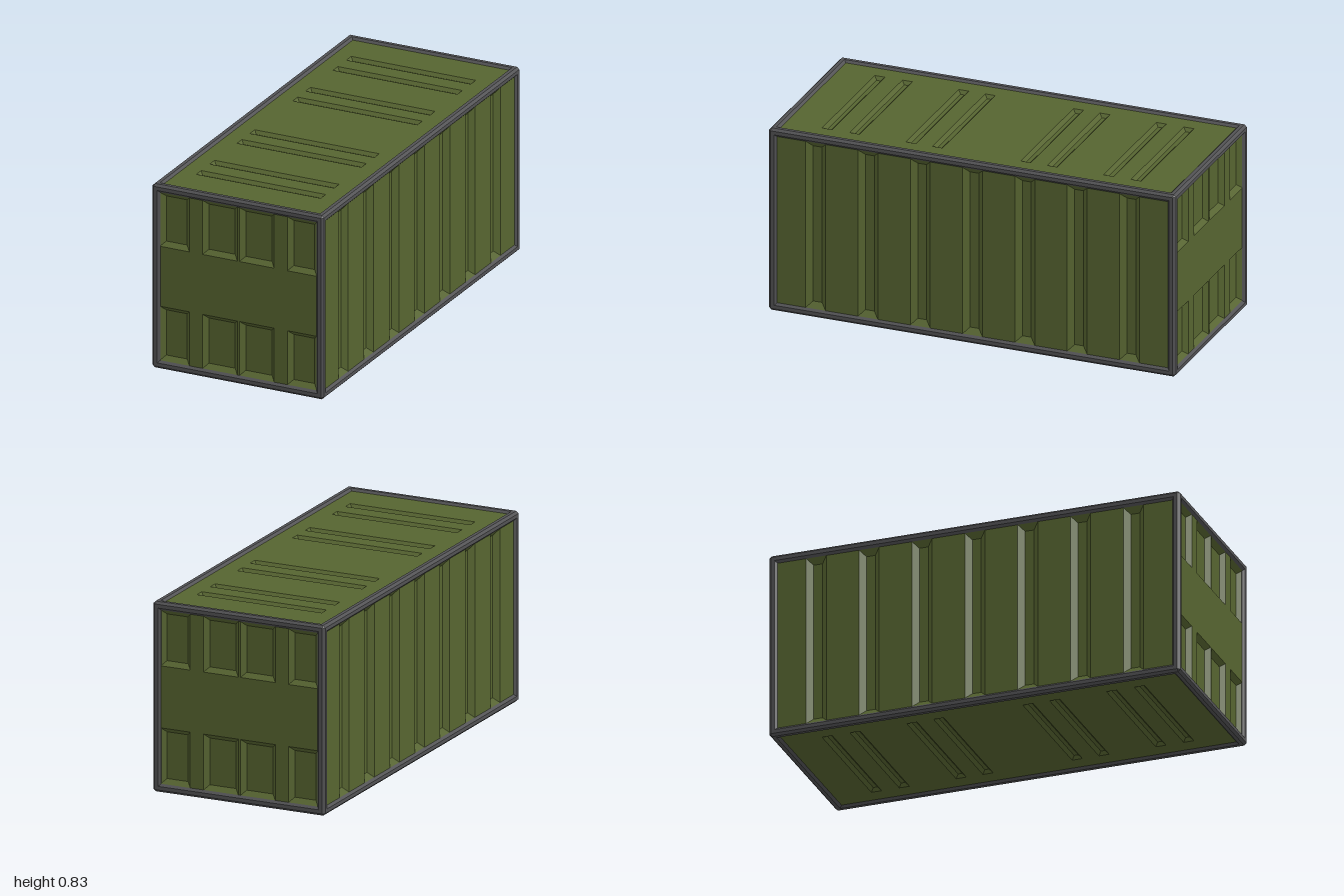
import * as THREE from 'three';
import { ConvexGeometry } from 'three/addons/geometries/ConvexGeometry.js';

const W = 0.804, H = 0.834, L = 1.842; // overall size before turning
const BAR = 0.036, CHAMFER = 0.01, INSET = 0.01;

const olive = new THREE.MeshStandardMaterial({ color: 0x566430 });
olive.name = 'olive panel';
const grey = new THREE.MeshStandardMaterial({ color: 0x525254 });
grey.name = 'grey frame';

// Box with every edge cut at 45 degrees
function chamferBox(w, h, d) {
  const c = CHAMFER, points = [];
  for (const sx of [-1, 1]) for (const sy of [-1, 1]) for (const sz of [-1, 1]) {
    const x = w / 2, y = h / 2, z = d / 2;
    for (const [px, py, pz] of [[x, y - c, z - c], [x - c, y, z - c], [x - c, y - c, z]]) {
      points.push(new THREE.Vector3(sx * px, sy * py, sz * pz));
    }
  }
  return new ConvexGeometry(points);
}

// Pressed recess with sloping walls: r = [x0, x1, y0, y1]
function recessGeometry([x0, x1, y0, y1], slope, depth) {
  const loop = (i, z) => [
    [x0 + i, y0 + i, z], [x1 - i, y0 + i, z], [x1 - i, y1 - i, z], [x0 + i, y1 - i, z],
  ];
  const rim = loop(0, 0), floor = loop(slope, -depth), pos = [];
  const quad = (a, b, c, d) => pos.push(...a, ...b, ...c, ...a, ...c, ...d);
  for (let i = 0; i < 4; i++) {
    const j = (i + 1) % 4;
    quad(rim[i], rim[j], floor[j], floor[i]);
  }
  quad(...floor);
  const g = new THREE.BufferGeometry();
  g.setAttribute('position', new THREE.Float32BufferAttribute(pos, 3));
  g.computeVertexNormals();
  return g;
}

// Flat sheet facing +z with recesses pressed into it
function pressedPanel(name, w, h, recesses, slope, depth) {
  const group = new THREE.Group();
  group.name = name;
  const rect = (target, x0, x1, y0, y1) => {
    target.moveTo(x0, y0);
    target.lineTo(x1, y0);
    target.lineTo(x1, y1);
    target.lineTo(x0, y1);
    target.closePath();
    return target;
  };
  const shape = rect(new THREE.Shape(), -w / 2, w / 2, -h / 2, h / 2);
  for (const r of recesses) shape.holes.push(rect(new THREE.Path(), ...r));
  const sheet = new THREE.Mesh(new THREE.ShapeGeometry(shape), olive);
  sheet.name = 'sheet';
  group.add(sheet);
  for (const r of recesses) {
    const mesh = new THREE.Mesh(recessGeometry(r, slope, depth), olive);
    mesh.name = 'recess';
    group.add(mesh);
  }
  return group;
}

export function createModel() {
  const model = new THREE.Group();
  model.name = 'shippingContainer';
  const body = new THREE.Group();
  body.name = 'containerBody';
  body.position.y = H / 2;
  body.rotation.y = THREE.MathUtils.degToRad(25.5);
  model.add(body);

  // Frame: four bars along each axis
  const addBar = (name, w, h, d, x, y, z) => {
    const bar = new THREE.Mesh(chamferBox(w, h, d), grey);
    bar.name = name;
    bar.position.set(x, y, z);
    body.add(bar);
  };
  const fx = (W - BAR) / 2, fy = (H - BAR) / 2, fz = (L - BAR) / 2;
  for (const a of [-1, 1]) for (const b of [-1, 1]) {
    addBar('cornerPost', BAR, H, BAR, a * fx, 0, b * fz);
    addBar('longRail', BAR, BAR, L, a * fx, b * fy, 0);
    addBar('endRail', W, BAR, BAR, 0, a * fy, b * fz);
  }

  // Sheets reach slightly under the frame bars
  const pw = W - BAR, ph = H - BAR, pl = L - BAR;
  const inner = H / 2 - BAR;

  // Upright grooves of the long sides
  const grooves = [];
  for (let k = -3; k <= 3; k++) grooves.push([k * 0.237 - 0.045, k * 0.237 + 0.045, -inner, inner]);

  // Cross slots of roof and floor, in pairs
  const slots = [];
  for (const s of [-1, 1]) for (const z of [0.2, 0.32, 0.575, 0.7]) {
    slots.push([-0.292, 0.292, s * z - 0.023, s * z + 0.023]);
  }

  // Recessed door fields above and below the middle band
  const fields = [];
  for (const [x0, x1] of [[-0.368, -0.23], [-0.168, -0.005], [0.005, 0.168], [0.23, 0.368]]) {
    fields.push([x0, x1, 0.136, inner], [x0, x1, -inner, -0.136]);
  }

  for (const s of [1, -1]) {
    const side = pressedPanel(s > 0 ? 'leftSide' : 'rightSide', pl, ph, grooves, 0.025, 0.022);
    side.rotation.y = s * Math.PI / 2;
    side.position.x = s * (W / 2 - INSET);

    const end = pressedPanel(s > 0 ? 'frontDoors' : 'backDoors', pw, ph, fields, 0.02, 0.02);
    end.rotation.y = s > 0 ? 0 : Math.PI;
    end.position.z = s * (L / 2 - INSET);

    const deck = pressedPanel(s > 0 ? 'roof' : 'floor', pw, pl, slots, 0.014, 0.014);
    deck.rotation.x = -s * Math.PI / 2;
    deck.position.y = s * (H / 2 - INSET);

    body.add(side, end, deck);
  }
  return model;
}
